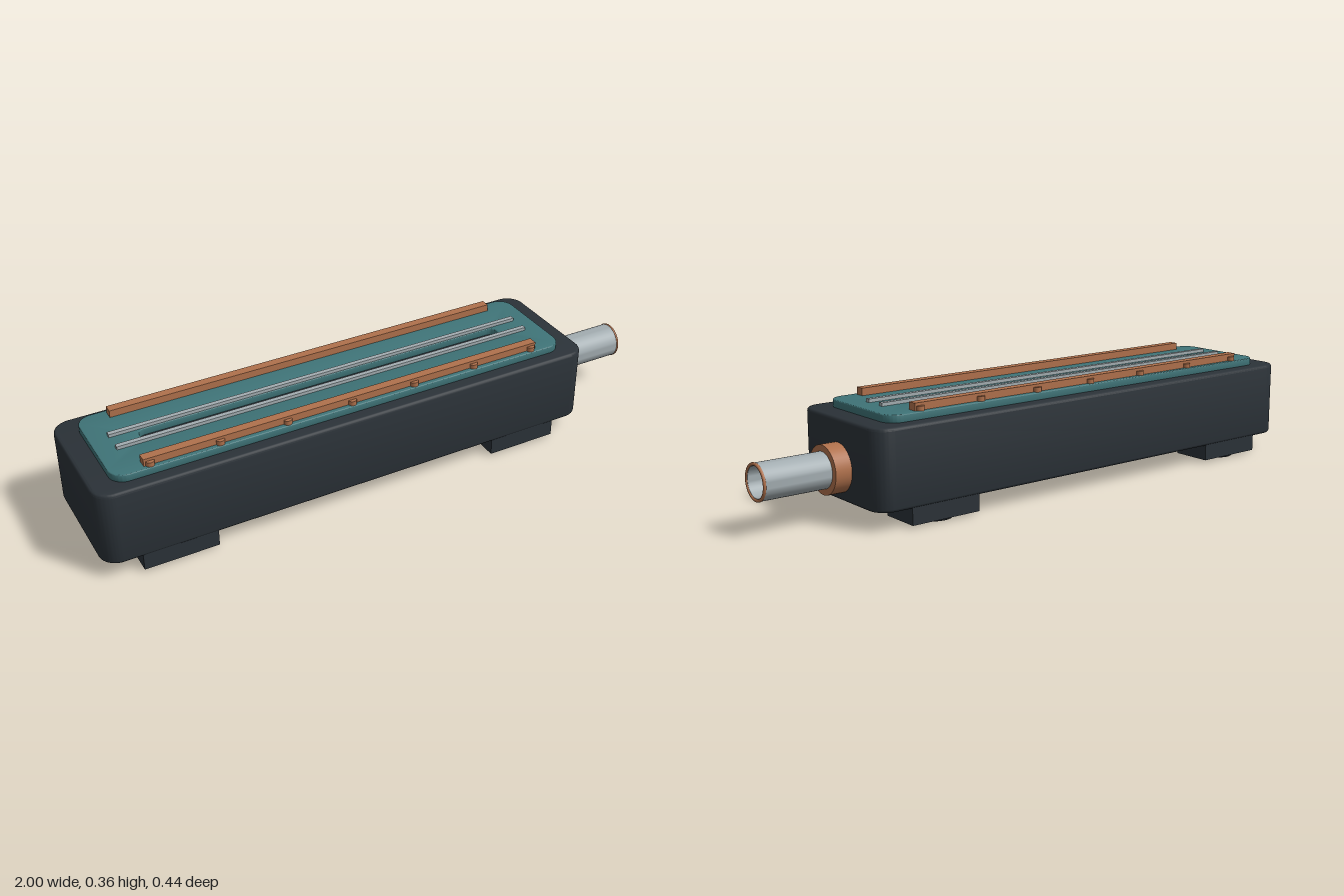
import * as THREE from 'three';
import { toCreasedNormals } from 'three/addons/utils/BufferGeometryUtils.js';

const mat = (color, side = THREE.FrontSide) => new THREE.MeshStandardMaterial({ color, side });

// Rounded rectangle centred on (cx, 0)
function roundedRect(target, cx, w, h, r) {
  const a = w / 2 - r, b = h / 2 - r;
  target.moveTo(cx + a, -b - r);
  target.absarc(cx + a, -b, r, -Math.PI / 2, 0, false);
  target.absarc(cx + a, b, r, 0, Math.PI / 2, false);
  target.absarc(cx - a, b, r, Math.PI / 2, Math.PI, false);
  target.absarc(cx - a, -b, r, Math.PI, Math.PI * 1.5, false);
  target.closePath();
  return target;
}

// Upright slab from y0 to y1 with softened rims
function slab(shape, y0, y1, bevel) {
  const g = new THREE.ExtrudeGeometry(shape, {
    depth: y1 - y0 - 2 * bevel, bevelEnabled: true, bevelThickness: bevel,
    bevelSize: bevel, bevelOffset: -bevel, bevelSegments: 3, curveSegments: 10,
  });
  g.rotateX(-Math.PI / 2).translate(0, y0 + bevel, 0);
  return toCreasedNormals(g, 0.6);
}

export function createModel() {
  const model = new THREE.Group();
  const dark = mat(0x2b3238), teal = mat(0x3f7478), copper = mat(0xb0714c);
  const steel = mat(0xa3adb1), rubber = mat(0x15181b);

  const add = (name, geometry, material, x = 0, y = 0, z = 0) => {
    const m = new THREE.Mesh(geometry, material);
    m.name = name;
    m.position.set(x, y, z);
    model.add(m);
    return m;
  };

  // Housing and slotted top plate
  add('housing', slab(roundedRect(new THREE.Shape(), -0.14, 1.72, 0.44, 0.06), 0.06, 0.313, 0.01), dark);
  const plate = roundedRect(new THREE.Shape(), -0.14, 1.58, 0.35, 0.05);
  plate.holes.push(roundedRect(new THREE.Path(), -0.14, 1.285, 0.05, 0.0249));
  add('topPlate', slab(plate, 0.311, 0.337, 0.003), teal);

  for (const s of [-1, 1]) {
    // Guide rods beside the slot, copper rails along the rims
    add('guideRod', new THREE.BoxGeometry(1.46, 0.013, 0.016), steel, -0.14, 0.3415, s * 0.036);
    add('rail', new THREE.BoxGeometry(1.38, 0.025, 0.03), copper, -0.14, 0.3485, s * 0.145);

    // Studs on the outer side of each rail
    for (let i = 0; i < 7; i++) {
      add('railStud', new THREE.CylinderGeometry(0.014, 0.014, 0.016, 16), copper, -0.81 + i * 0.2235, 0.344, s * 0.159);
    }

    // Feet with round pads
    for (const x of [-0.758, 0.481]) {
      add('foot', new THREE.BoxGeometry(0.245, 0.056, 0.137), dark, x, 0.036, s * 0.149);
      add('footPad', new THREE.CylinderGeometry(0.059, 0.059, 0.012, 28), rubber, x, 0.006, s * 0.149);
    }
  }

  // Outlet: collar, hollow pipe and lip ring
  const axisY = 0.162;
  add('collar', new THREE.CylinderGeometry(0.077, 0.077, 0.065, 40), copper, 0.7425, axisY, 0).rotation.z = -Math.PI / 2;
  const profile = [[0.041, 0.77], [0.048, 0.996], [0.057, 0.996], [0.057, 0.77]]
    .map(([r, x]) => new THREE.Vector2(r, x));
  const pipe = toCreasedNormals(new THREE.LatheGeometry(profile, 40), 0.6);
  add('pipe', pipe, mat(0xa3adb1, THREE.DoubleSide), 0, axisY, 0).rotation.z = -Math.PI / 2;
  add('pipeLip', new THREE.TorusGeometry(0.054, 0.005, 10, 40), copper, 0.995, axisY, 0).rotation.y = Math.PI / 2;

  return model;
}
